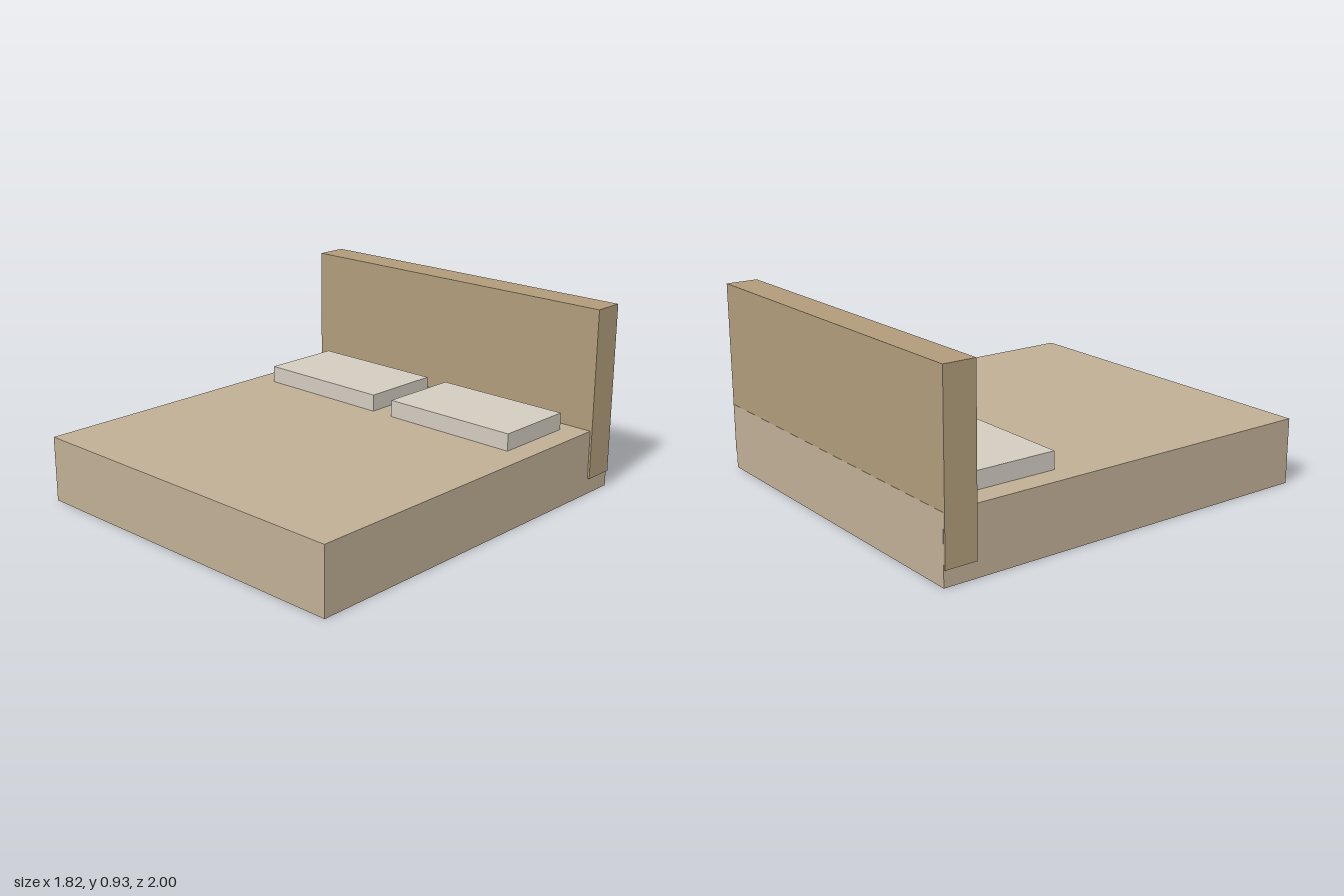
import * as THREE from 'three';

// Box given by its lower and upper bounds on each axis
function block(name, color, [x0, x1], [y0, y1], [z0, z1]) {
  const mesh = new THREE.Mesh(
    new THREE.BoxGeometry(x1 - x0, y1 - y0, z1 - z0),
    new THREE.MeshStandardMaterial({ color })
  );
  mesh.position.set((x0 + x1) / 2, (y0 + y1) / 2, (z0 + z1) / 2);
  mesh.name = name;
  return mesh;
}

export function createModel() {
  const bed = new THREE.Group();
  bed.name = 'bed';
  const top = 0.325;

  // Mattress base, full length
  bed.add(block('mattressBase', 0xc0af95, [-0.9, 0.9], [0, top], [-1, 1]));

  // Headboard, slightly wider; its back sits a hair inside the base's back face
  bed.add(block('headboard', 0xb19c7b, [-0.91, 0.91], [0.08, 0.93], [-0.999, -0.84]));

  // Mirrored pair of pillows
  for (const side of [1, -1]) {
    const xs = side > 0 ? [0.06, 0.78] : [-0.78, -0.06];
    bed.add(block(side > 0 ? 'leftPillow' : 'rightPillow', 0xd2cbc0, xs, [top, 0.41], [-0.76, -0.34]));
  }
  return bed;
}
